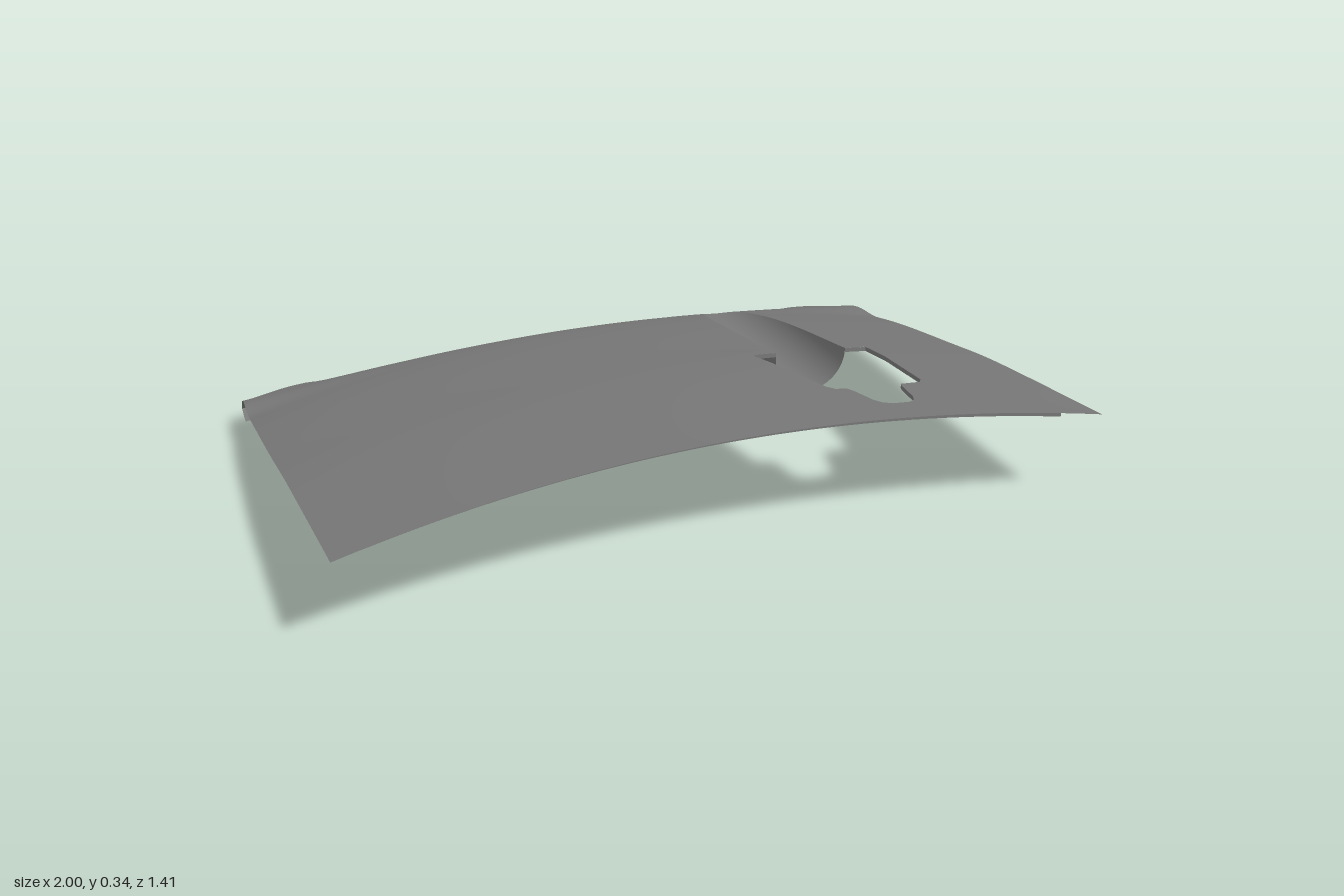
import * as THREE from 'three';

const material = new THREE.MeshStandardMaterial({ color: 0x787878, side: THREE.DoubleSide });
const { smoothstep, lerp, clamp } = THREE.MathUtils;

// Centre-line profile of the panel: (z, y), back to front
const profile = new THREE.SplineCurve([
  [-0.71, 0.03], [-0.68, 0.075], [-0.62, 0.132], [-0.53, 0.176], [-0.37, 0.212],
  [-0.1, 0.254], [0.15, 0.29], [0.622, 0.335],
].map(([z, y]) => new THREE.Vector2(z, y))).getPoints(300);

function interpolate(points, t) {
  let i = 1;
  while (i < points.length - 1 && points[i].x < t) i++;
  const a = points[i - 1], b = points[i];
  return lerp(a.y, b.y, clamp((t - a.x) / (b.x - a.x), 0, 1));
}

// Panel outline and height
const bow = (u) => 0.08 * u * u;
const frontZ = (u) => 0.622 + bow(u);
const backZ = (u) => -0.71 + bow(u);
function height(u, z) {
  const s = z - bow(u), a = Math.abs(u);
  const crown = 0.075 * u * u * smoothstep(s, -0.72, -0.48);
  const rim = 0.035 * smoothstep(a, 0.64, 0.8) - 0.02 * smoothstep(a, 0.84, 1);
  return interpolate(profile, s) - crown + rim * (1 - smoothstep(s, -0.72, -0.62));
}
// Sides draw in slightly towards the back
function sideX(u, z) {
  const t = clamp((0.7 - z) / 1.33, 0, 1);
  return u - Math.sign(u) * (0.01 * t + 0.025 * t ** 4) * smoothstep(Math.abs(u), 0.7, 1);
}
const place = (u, y, z) => [sideX(u, z), y, z];
const onPanel = (u, z) => place(u, height(u, z), z);

// Sheet of (columns x rows) points given by a rule
function sheet(name, columns, rows, rule, flat = false) {
  const position = [], index = [];
  for (let i = 0; i < columns; i++) for (let j = 0; j < rows; j++) position.push(...rule(i, j));
  for (let i = 0; i < columns - 1; i++) {
    for (let j = 0; j < rows - 1; j++) {
      const a = i * rows + j, b = a + rows;
      index.push(a, b, b + 1, a, b + 1, a + 1);
    }
  }
  let geometry = new THREE.BufferGeometry();
  geometry.setAttribute('position', new THREE.Float32BufferAttribute(position, 3));
  geometry.setIndex(index);
  if (flat) geometry = geometry.toNonIndexed();
  geometry.computeVertexNormals();
  const mesh = new THREE.Mesh(geometry, material);
  mesh.name = name;
  return mesh;
}

// Part of the skin over columns us, between two edges
function skin(name, us, from, to, rows = 44) {
  return sheet(name, us.length, rows, (i, j) =>
    onPanel(us[i], lerp(from(us[i]), to(us[i]), j / (rows - 1))));
}
const range = (a, b, n) => Array.from({ length: n + 1 }, (_, i) => lerp(a, b, i / n));

// Opening: front edge as (u, z) points, straight rear edge
const openingFront = [
  [0.333, 0.05], [0.345, 0.12], [0.385, 0.36], [0.4, 0.383], [0.43, 0.39], [0.437, 0.41],
  [0.45, 0.49], [0.462, 0.515], [0.485, 0.53], [0.535, 0.53], [0.555, 0.515], [0.566, 0.49],
  [0.582, 0.41], [0.59, 0.39], [0.65, 0.385], [0.664, 0.365], [0.682, 0.15], [0.684, 0.05],
].map(([u, z]) => new THREE.Vector2(u, z));
const openingZ = (u) => interpolate(openingFront, u);
const OPEN_L = 0.333, OPEN_R = 0.684, OPEN_REAR = 0.035;

// Half-round channel running back from the opening
const CX = 0.51, CY = 0.238, R = 0.108, STEPS = 28;
const channelU = range(0, Math.PI, STEPS).map((t) => CX - R * Math.cos(t));
const channelY = (u) => CY - Math.sqrt(Math.max(0, R * R - (u - CX) ** 2));
function channelEnd(u) {
  let low = backZ(u), high = OPEN_REAR;
  for (let k = 0; k < 30; k++) {
    const mid = (low + high) / 2;
    if (height(u, mid) > channelY(u)) high = mid; else low = mid;
  }
  return high;
}

// Square-section bar under the panel along (u, z) points
function bar(name, points, width, depth) {
  const path = new THREE.SplineCurve(points.map(([u, z]) => new THREE.Vector2(u, z)));
  const section = [[-0.5, 0], [-0.5, 1], [0.5, 1], [0.5, 0]];
  const n = 40;
  return sheet(name, n + 1, 4, (i, j) => {
    const p = path.getPoint(i / n), t = path.getTangent(i / n);
    const u = p.x - t.y * section[j][0] * width, z = p.y + t.x * section[j][0] * width;
    return place(u, height(u, z) - 0.003 - section[j][1] * depth, z);
  }, true);
}

export function createModel() {
  const model = new THREE.Group();
  model.name = 'bonnet';

  // Outer skin, split around the opening
  const panel = new THREE.Group();
  panel.name = 'panel';
  const openingUs = openingFront.map((p) => p.x);
  const rear = () => OPEN_REAR;
  panel.add(
    skin('rightSkin', range(-1, OPEN_L, 56), frontZ, backZ, 64),
    skin('leftSkin', range(OPEN_R, 1, 16), frontZ, backZ, 64),
    skin('skinAheadOfOpening', openingUs, frontZ, openingZ, 24),
    skin('skinRightOfChannel', range(OPEN_L, CX - R, 4), rear, backZ),
    skin('skinBehindChannel', channelU, channelEnd, backZ),
    skin('skinLeftOfChannel', range(CX + R, OPEN_R, 4), rear, backZ),
  );
  model.add(panel);

  // Channel floor and its upright walls
  const channel = new THREE.Group();
  channel.name = 'channel';
  channel.add(sheet('channelFloor', STEPS + 1, 30, (i, j) => {
    const u = channelU[i];
    return place(u, channelY(u), lerp(OPEN_REAR, channelEnd(u), j / 29));
  }));
  for (const u of [CX - R, CX + R]) {
    channel.add(sheet('channelWall', 12, 2, (i, j) => {
      const z = lerp(OPEN_REAR, channelEnd(u), i / 11);
      return place(u, j ? height(u, z) : CY, z);
    }));
  }
  model.add(channel);

  // Turned-down lip around the opening
  const lip = [[CX - R, OPEN_REAR], [OPEN_L, OPEN_REAR],
    ...openingFront.map((p) => [p.x, p.y]), [OPEN_R, OPEN_REAR], [CX + R, OPEN_REAR]];
  model.add(sheet('openingLip', lip.length, 2, (i, j) => {
    const [x, y, z] = onPanel(...lip[i]);
    return [x, y - 0.012 * j, z];
  }, true));

  // Folded flange along the back edge, shallower and without its return at the ends
  const flangeUs = range(-1, 1, 80);
  const fold = [[0, 0], [0.025, -0.022], [0.045, -0.03], [0.07, 0.02], [0.1, 0.08]];
  model.add(sheet('backFlange', flangeUs.length, fold.length, (i, j) => {
    const u = flangeUs[i], z = backZ(u), y = height(u, z);
    const [dz, dy] = fold[j];
    const middle = 1 - smoothstep(Math.abs(u), 0.62, 0.76);
    const x = sideX(u, z);
    if (j < 3) return [x, y + dy * lerp(0.7, 1, middle), z + dz];
    const top = Math.min(y + dy, height(u, z + dz) - 0.01);
    return [x, lerp(y - 0.021, top, middle), z + lerp(0.046, dz, middle)];
  }));

  // Stiffening bars below the skin
  const railUs = range(-0.92, 0.92, 12);
  model.add(bar('frontRail', railUs.map((u) => [u, 0.56 + bow(u)]), 0.03, 0.022));
  model.add(bar('diagonalRib', [[-0.42, 0.54], [-0.5, 0.2], [-0.6, -0.18], [-0.72, -0.55]], 0.045, 0.02));
  return model;
}
